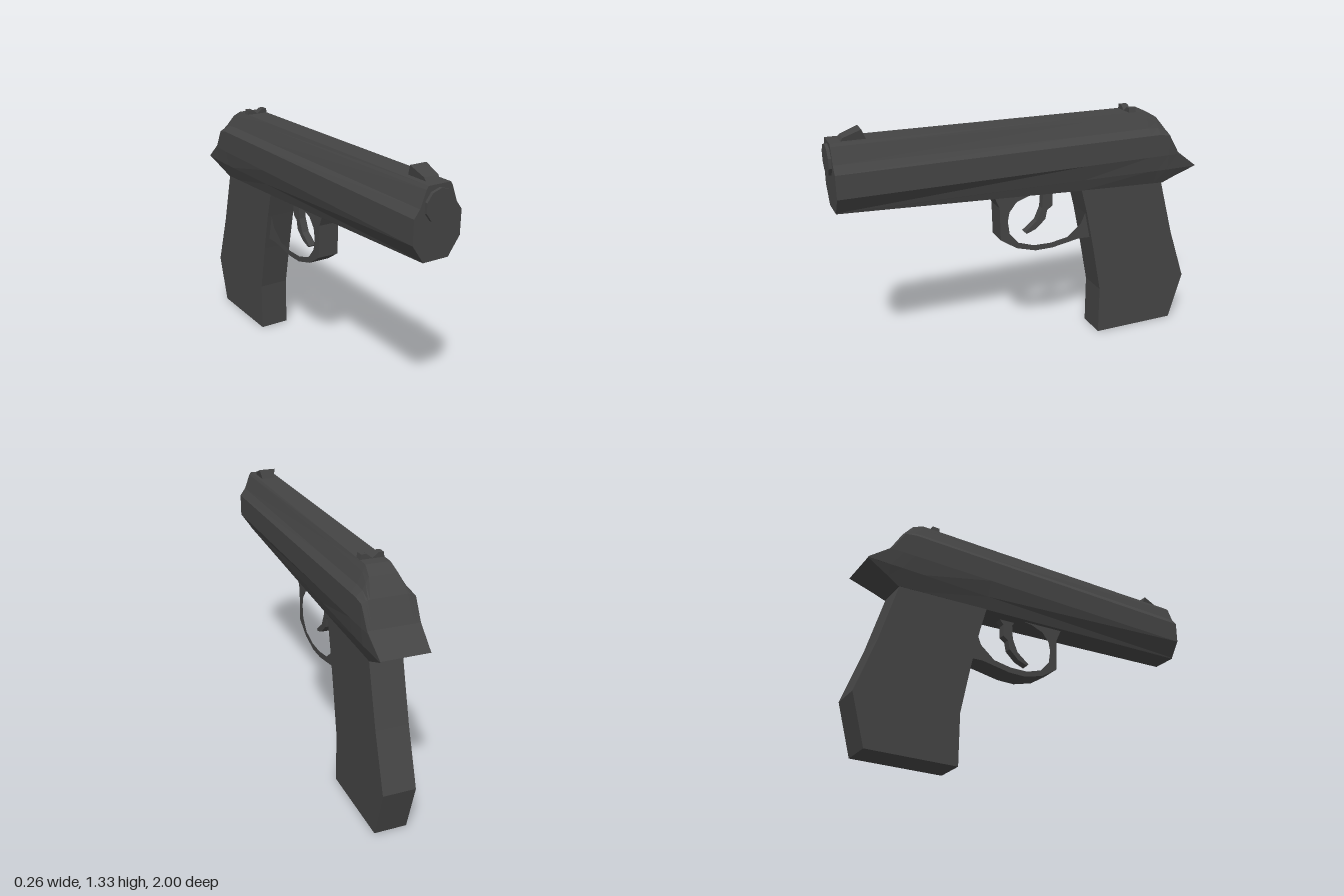
import * as THREE from 'three';

const material = new THREE.MeshStandardMaterial({ color: 0x444444, flatShading: true });

function addMesh(group, name, geometry) {
  const mesh = new THREE.Mesh(geometry, material);
  mesh.name = name;
  group.add(mesh);
  return mesh;
}

// Side outline given as [z, y], extruded evenly across x
function sideExtrude(points, width, hole) {
  const toVec = (p) => new THREE.Vector2(p[0], p[1]);
  const shape = new THREE.Shape(points.map(toVec));
  if (hole) shape.holes.push(new THREE.Path(hole.map(toVec)));
  return new THREE.ExtrudeGeometry(shape, { depth: width, bevelEnabled: false })
    .translate(0, 0, -width / 2)
    .rotateY(-Math.PI / 2);
}

// Skin over mirrored half sections, each { z, pts: [[x, y], ...] from top to bottom }
function loft(sections) {
  const positions = [];
  const index = [];
  const n = sections[0].pts.length * 2;
  for (const { z, pts } of sections) {
    for (const [x, y] of pts) positions.push(x, y, z);
    for (const [x, y] of [...pts].reverse()) positions.push(-x, y, z);
  }
  for (let i = 0; i < sections.length - 1; i++) {
    for (let j = 0; j < n; j++) {
      const k = (j + 1) % n;
      const a = i * n + j, b = i * n + k, c = a + n, d = b + n;
      index.push(a, b, c, b, d, c);
    }
  }
  // Front cap
  const centre = positions.length / 3;
  positions.push(0, 1.1, sections[0].z);
  for (let j = 0; j < n; j++) index.push(centre, (j + 1) % n, j);
  const geometry = new THREE.BufferGeometry();
  geometry.setAttribute('position', new THREE.Float32BufferAttribute(positions, 3));
  geometry.setIndex(index);
  const flat = geometry.toNonIndexed();
  flat.computeVertexNormals();
  return flat;
}

export function createModel() {
  const model = new THREE.Group();
  model.name = 'pistol';

  // Faceted upper body with a raised top rib and sloping, pointed rear
  addMesh(model, 'slide', loft([
    { z: 0.985, pts: [[0.06, 1.285], [0.07, 1.27], [0.1, 1.19], [0.13, 1.15], [0.13, 1.03], [0.072, 0.945], [0.07, 0.94]] },
    { z: -0.32, pts: [[0.06, 1.273], [0.07, 1.25], [0.1, 1.185], [0.13, 1.15], [0.13, 1.03], [0.105, 0.945], [0.083, 0.88]] },
    { z: -0.7, pts: [[0.06, 1.27], [0.075, 1.24], [0.1, 1.185], [0.13, 1.15], [0.13, 1.03], [0.117, 0.945], [0.084, 0.865]] },
    { z: -0.76, pts: [[0.07, 1.235], [0.085, 1.21], [0.1, 1.18], [0.13, 1.15], [0.13, 1.03], [0.118, 0.945], [0.084, 0.862]] },
    { z: -0.82, pts: [[0.09, 1.157], [0.1, 1.155], [0.11, 1.15], [0.13, 1.14], [0.13, 1.03], [0.12, 0.945], [0.085, 0.86]] },
    { z: -0.88, pts: [[0.09, 1.04], [0.1, 1.04], [0.11, 1.04], [0.128, 1.04], [0.128, 1.03], [0.12, 0.945], [0.096, 0.89]] },
    { z: -1, pts: [[0.09, 0.95], [0.1, 0.95], [0.11, 0.95], [0.12, 0.95], [0.12, 0.949], [0.12, 0.946], [0.118, 0.945]] },
  ]));

  // Ten-sided barrel end
  addMesh(model, 'barrelEnd',
    new THREE.CylinderGeometry(0.079, 0.079, 0.08, 10).rotateX(Math.PI / 2).translate(0, 1.192, 0.96));

  // Angled grip
  addMesh(model, 'grip', sideExtrude([
    [-0.31, 0.91], [-0.81, 0.9], [-0.81, 0.87], [-0.9, 0.55], [-1, 0.26],
    [-0.925, 0], [-0.45, 0], [-0.45, 0.27], [-0.4, 0.53], [-0.355, 0.74],
  ], 0.167));

  // Trigger guard loop
  addMesh(model, 'triggerGuard', sideExtrude([
    [0.18, 0.92], [0.145, 0.84], [0.14, 0.66], [0.05, 0.6], [-0.06, 0.568], [-0.16, 0.568],
    [-0.32, 0.595], [-0.42, 0.59], [-0.42, 0.92],
  ], 0.117, [
    [0.05, 0.86], [0.09, 0.81], [0.1, 0.76], [0.09, 0.69], [0.04, 0.63], [-0.05, 0.6], [-0.15, 0.598],
    [-0.25, 0.615], [-0.33, 0.68], [-0.36, 0.75], [-0.34, 0.88], [-0.1, 0.895], [-0.02, 0.885],
  ]));

  // Curved trigger
  addMesh(model, 'trigger', sideExtrude([
    [-0.1, 0.9], [-0.12, 0.87], [-0.115, 0.79], [-0.085, 0.72], [-0.015, 0.665], [-0.025, 0.655],
    [-0.08, 0.675], [-0.135, 0.725], [-0.145, 0.775], [-0.175, 0.795], [-0.175, 0.86], [-0.21, 0.9],
  ], 0.04));

  // Front sight: wedge flaring slightly towards its top
  const frontSight = sideExtrude([
    [0.94, 1.27], [0.92, 1.3], [0.83, 1.333], [0.805, 1.27],
  ], 0.09);
  const pos = frontSight.attributes.position;
  for (let i = 0; i < pos.count; i++) {
    pos.setX(i, pos.getX(i) * (0.75 + (pos.getY(i) - 1.27) * 4) + 0.006);
  }
  frontSight.computeVertexNormals();
  addMesh(model, 'frontSight', frontSight);

  // Rear sight with a V notch
  const notch = [[-0.065, 1.24], [0.065, 1.24], [0.055, 1.295], [0.03, 1.295], [0, 1.272], [-0.03, 1.295], [-0.055, 1.295]];
  addMesh(model, 'rearSight', new THREE.ExtrudeGeometry(
    new THREE.Shape(notch.map(([x, y]) => new THREE.Vector2(x, y))),
    { depth: 0.04, bevelEnabled: false }).translate(0, 0, -0.64));

  return model;
}
